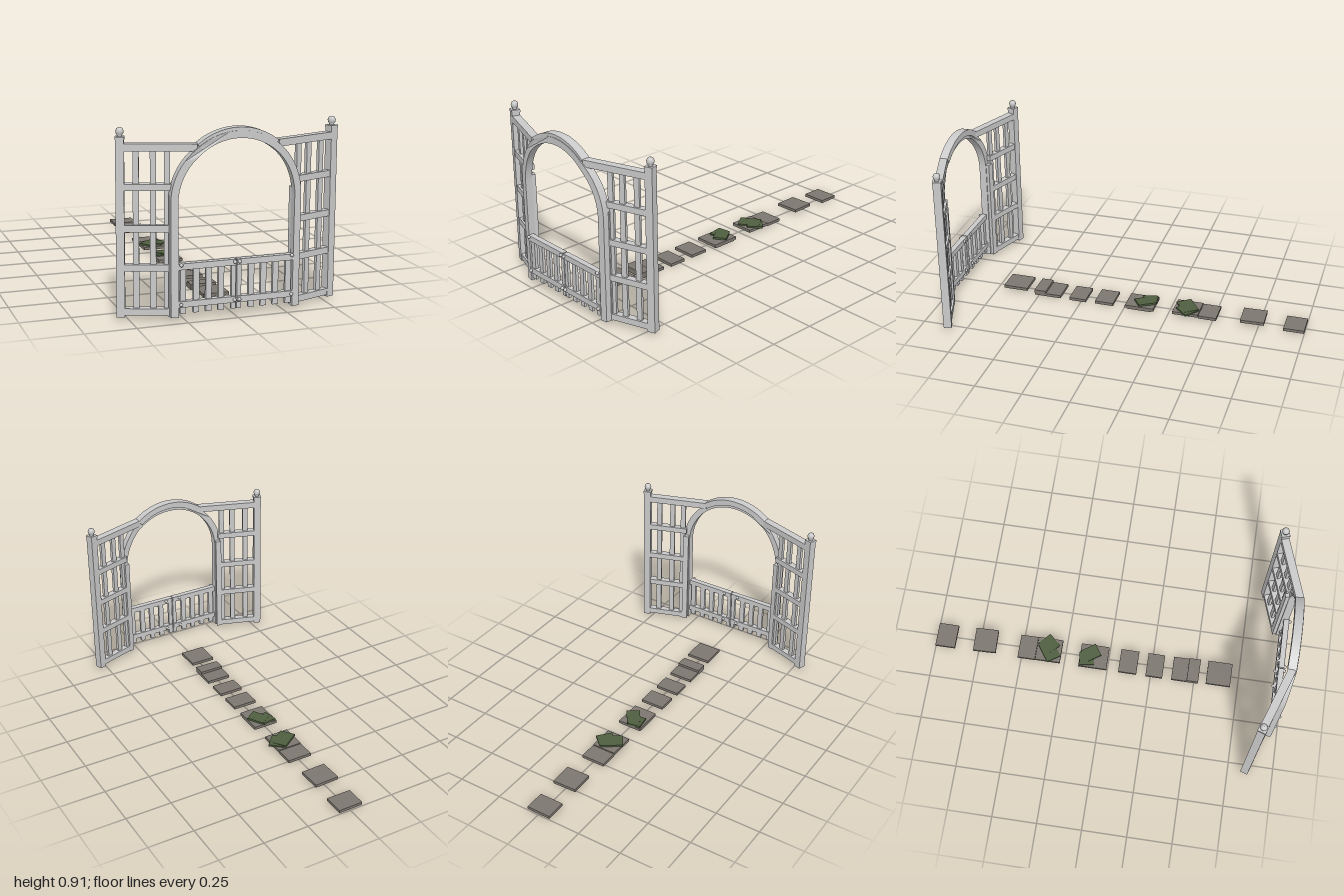
import * as THREE from 'three';

const gateGrey = new THREE.MeshStandardMaterial({ color: 0xcacaca });
gateGrey.name = 'pale grey paint';
const stoneGrey = new THREE.MeshStandardMaterial({ color: 0x7d7770 });
stoneGrey.name = 'stone';
const mossGreen = new THREE.MeshStandardMaterial({ color: 0x4f5f40 });
mossGreen.name = 'moss';

function add(parent, name, geometry, material, x = 0, y = 0, z = 0) {
  const mesh = new THREE.Mesh(geometry, material);
  mesh.name = name;
  mesh.position.set(x, y, z);
  parent.add(mesh);
  return mesh;
}

function box(parent, name, x0, x1, y0, y1, depth, z = 0, material = gateGrey) {
  const geometry = new THREE.BoxGeometry(Math.abs(x1 - x0), y1 - y0, depth);
  return add(parent, name, geometry, material, (x0 + x1) / 2, (y0 + y1) / 2, z);
}

// Extrude a shape centred on z, then sweep its outer ends backwards
function bentExtrude(shape, depth, zMid, sweep) {
  const geometry = new THREE.ExtrudeGeometry(shape, { depth, bevelEnabled: false, curveSegments: 32 });
  const p = geometry.attributes.position;
  for (let i = 0; i < p.count; i++) {
    p.setZ(i, p.getZ(i) - depth / 2 + zMid - sweep * Math.max(0, Math.abs(p.getX(i)) - 0.2));
  }
  geometry.computeVertexNormals();
  return geometry;
}

function buildArch(parent) {
  // Round-headed frame with straight legs
  const frame = new THREE.Shape();
  frame.moveTo(0.323, 0.02);
  frame.lineTo(0.325, 0.567);
  frame.absarc(0, 0.567, 0.325, 0, Math.PI, false);
  frame.lineTo(-0.323, 0.02);
  frame.lineTo(-0.286, 0.02);
  frame.lineTo(-0.29, 0.567);
  frame.absarc(0, 0.567, 0.29, Math.PI, 0, true);
  frame.lineTo(0.286, 0.02);
  add(parent, 'archFrame', bentExtrude(frame, 0.04, 0.966, 0.16), gateGrey);

  // Raised curved cap joining the two top rails
  const start = Math.acos(0.2 / 0.318);
  const cap = new THREE.Shape();
  cap.absarc(0, 0.59, 0.318, start, Math.PI - start, false);
  cap.absarc(0, 0.59, 0.285, Math.PI - start, start, true);
  add(parent, 'archCap', bentExtrude(cap, 0.046, 0.96, 0.34), gateGrey);
}

function buildWing(parent, s) {
  const slope = 0.34, angle = Math.atan(slope);
  const wing = new THREE.Group();
  wing.name = s > 0 ? 'leftTrellis' : 'rightTrellis';
  wing.position.set(s * 0.2, 0, 0.96);
  wing.rotation.y = s * angle;
  parent.add(wing);
  const along = x => s * (x - 0.2) / Math.cos(angle);

  // Horizontal rails
  box(wing, 'topRail', along(0.195), along(0.53), 0.805, 0.84, 0.042);
  for (const y of [0.62, 0.425, 0.237, 0.025]) {
    box(wing, 'rail', along(0.305), along(0.53), y, y + 0.032, 0.036);
  }
  // Vertical slats and the stile behind the arch leg
  for (const [x, top] of [[0.463, 0.82], [0.388, 0.82], [0.327, 0.82]]) {
    box(wing, 'slat', along(x - 0.0135), along(x + 0.0135), 0.03, top, 0.016);
  }
  box(wing, 'stile', along(0.292), along(0.322), 0.02, 0.6, 0.036);

  // Outer post with a ball finial
  const px = along(0.532);
  box(wing, 'post', px - 0.02, px + 0.02, 0.015, 0.868, 0.042);
  box(wing, 'postCap', px - 0.022, px + 0.022, 0.858, 0.871, 0.045);
  const finial = [[0, 0.868], [0.014, 0.868], [0.011, 0.876], [0.017, 0.885], [0.0195, 0.896], [0.015, 0.908], [0.008, 0.913], [0, 0.914]]
    .map(([r, y]) => new THREE.Vector2(r, y));
  add(wing, 'finial', new THREE.LatheGeometry(finial, 16), gateGrey, px, 0, 0);
}

function buildGate(parent, s) {
  const gate = new THREE.Group();
  gate.name = s > 0 ? 'leftGate' : 'rightGate';
  gate.position.z = 0.96;
  parent.add(gate);
  box(gate, 'gateTopRail', s * 0.003, s * 0.29, 0.25, 0.28, 0.03);
  box(gate, 'gateBottomRail', s * 0.003, s * 0.29, 0.068, 0.098, 0.03);
  for (const x of [0.014, 0.076, 0.138, 0.2, 0.265]) {
    const half = x < 0.02 ? 0.011 : 0.0145;
    box(gate, 'picket', s * (x - half), s * (x + half), 0.037, 0.262, 0.016);
  }
  // Hinge and latch knobs
  const knob = new THREE.SphereGeometry(0.009, 10, 8);
  for (const [x, y] of [[0.278, 0.275], [0.278, 0.083], [0.012, 0.268], [0.012, 0.083]]) {
    add(gate, 'knob', knob, gateGrey, s * x, y, 0.02);
  }
  for (const y of [0.268, 0.083]) add(gate, 'knob', knob, gateGrey, s * 0.045, y, -0.016);
}

function buildPath(parent) {
  // Stepping stones: z start, z end, base height
  const stones = [
    [-1, -0.887, 0.008], [-0.78, -0.65, 0.02], [-0.52, -0.42, 0.006], [-0.418, -0.275, 0.01],
    [-0.167, -0.005, 0.006], [0.064, 0.168, 0.004], [0.222, 0.318, 0.002],
    [0.37, 0.522, 0.004], [0.458, 0.524, 0.018], [0.568, 0.706, 0.02],
  ];
  stones.forEach(([z0, z1, y], i) => {
    const stone = box(parent, 'steppingStone', -0.07, 0.066, y, y + 0.016, z1 - z0, (z0 + z1) / 2, stoneGrey);
    if (i === 1) stone.rotation.y = 0.03;
  });
  box(parent, 'stoneBase', -0.068, 0.064, 0, 0.006, 0.14, -0.085, stoneGrey);

  // Moss slabs: x, y, z, width, length, turn, tilt
  const moss = [
    [-0.005, 0.029, -0.345, 0.12, 0.085, 0.6, 0.03], [0.03, 0.028, -0.35, 0.085, 0.09, -0.75, -0.04],
    [-0.022, 0.026, -0.125, 0.075, 0.085, 0.15, 0.04], [0.012, 0.03, -0.105, 0.075, 0.095, 0.6, -0.05],
  ];
  for (const [x, y, z, w, l, turn, tilt] of moss) {
    const slab = add(parent, 'mossPatch', new THREE.BoxGeometry(w, 0.011, l), mossGreen, x, y, z);
    slab.rotation.set(tilt, turn, 0, 'YXZ');
  }
}

export function createModel() {
  const model = new THREE.Group();
  model.name = 'gardenGateAndPath';
  buildArch(model);
  for (const s of [1, -1]) {
    buildWing(model, s);
    buildGate(model, s);
  }
  buildPath(model);
  return model;
}
